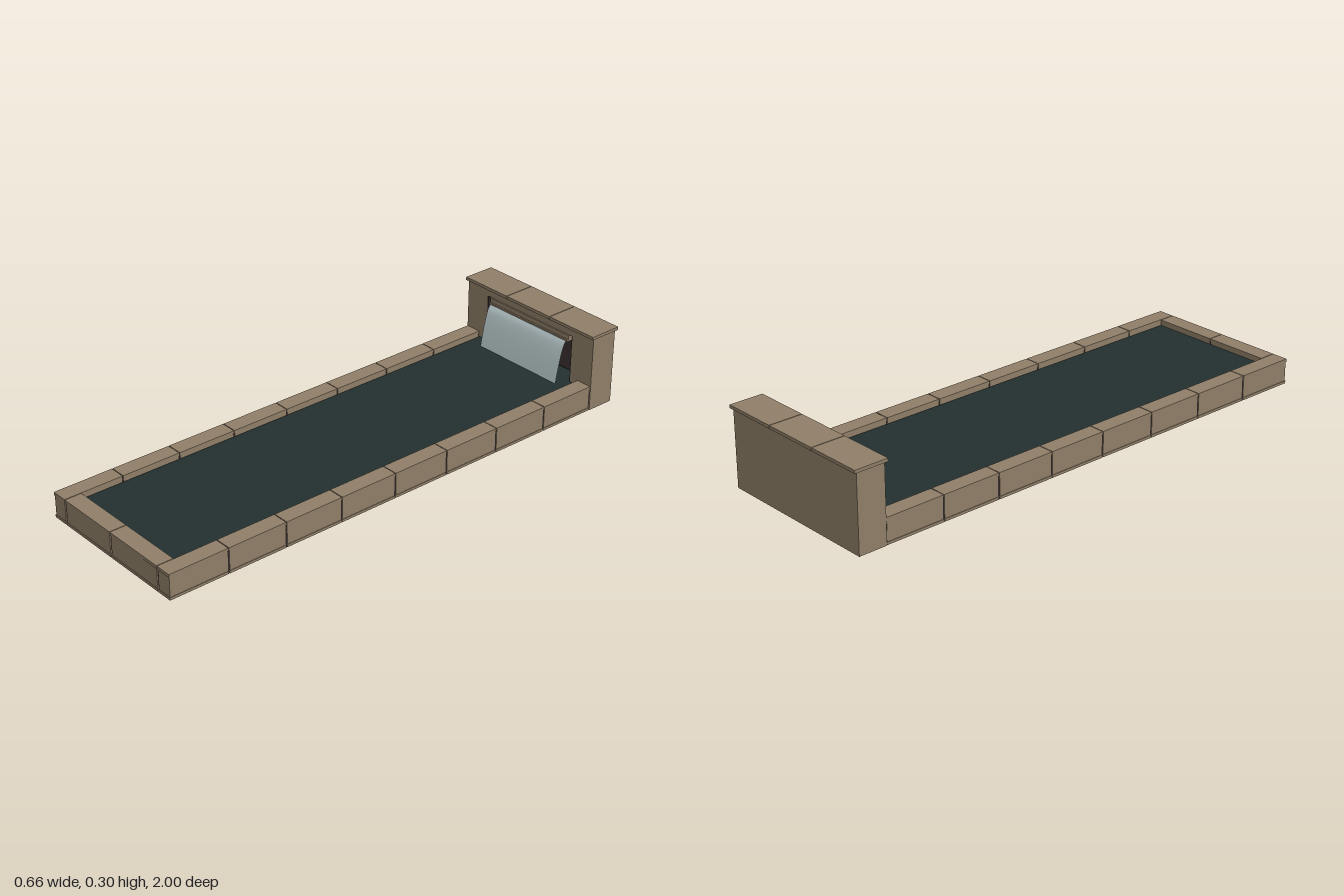
import * as THREE from 'three';

export function createModel() {
  const model = new THREE.Group();
  model.name = 'waterfallPool';

  const material = (name, color, side = THREE.FrontSide) => {
    const m = new THREE.MeshStandardMaterial({ color, side });
    m.name = name;
    return m;
  };
  const stone = material('stone', 0x8f7e68);
  const niche = material('nicheDark', 0x3a3030);
  const liner = material('linerBlack', 0x1a1614);
  const water = material('poolWater', 0x22302f);
  const fall = material('fallingWater', 0xb8c8ca, THREE.DoubleSide);

  // Box given by its limits on each axis
  const box = (name, mat, [x0, x1], [y0, y1], [z0, z1], parent = model) => {
    const mesh = new THREE.Mesh(new THREE.BoxGeometry(x1 - x0, y1 - y0, z1 - z0), mat);
    mesh.position.set((x0 + x1) / 2, (y0 + y1) / 2, (z0 + z1) / 2);
    mesh.name = name;
    parent.add(mesh);
    return mesh;
  };

  const W = 0.323, IN = 0.257, RIM = 0.097, GAP = 0.0015;

  // One curb stone: footing, slightly inset body and coping slab
  const curbStone = (name, [x0, x1], [z0, z1]) => {
    const g = new THREE.Group();
    g.name = name;
    const x = [x0 + GAP, x1 - GAP], z = [z0 + GAP, z1 - GAP];
    const inset = ([a, b]) => [a + 0.002, b - 0.002];
    box('footing', stone, x, [0, 0.01], z, g);
    box('body', stone, inset(x), [0.01, 0.085], inset(z), g);
    box('coping', stone, x, [0.085, RIM], z, g);
    model.add(g);
  };

  // Side curbs, running from the front corners to the head wall
  const joints = [1, 0.765, 0.53, 0.295, 0.06, -0.175, -0.41, -0.645, -0.88];
  for (const s of [-1, 1]) {
    for (let i = 0; i < joints.length - 1; i++) {
      const xs = s > 0 ? [IN, W] : [-W, -IN];
      curbStone('sideCurb', xs, [joints[i + 1], joints[i]]);
    }
    // Dark mortar behind the joints
    const xm = s > 0 ? [IN + 0.006, W - 0.006] : [-W + 0.006, -IN - 0.006];
    box('sideMortar', niche, xm, [0.004, 0.09], [-0.88, 0.99]);
  }

  // Front curb in two stones
  curbStone('frontCurb', [-IN, 0], [0.932, 1]);
  curbStone('frontCurb', [0, IN], [0.932, 1]);
  box('frontMortar', niche, [-0.26, 0.26], [0.004, 0.09], [0.938, 0.992]);

  // Pool: black liner underneath, water on top
  box('poolLiner', liner, [-0.256, 0.256], [0.004, 0.02], [-0.88, 0.934]);
  box('poolWater', water, [-0.256, 0.256], [0.02, 0.075], [-0.88, 0.934]);
  box('nicheWater', water, [-0.22, 0.22], [0.02, 0.075], [-0.945, -0.88]);

  // Head wall around the niche
  const HF = -0.88, HB = -0.99, TOP = 0.29;
  box('headWallBack', stone, [-W, W], [0, TOP], [HB, -0.95]);
  for (const s of [-1, 1]) {
    box('headColumn', stone, s > 0 ? [0.22, W] : [-W, -0.22], [0, TOP], [-0.95, HF]);
    box('nicheSide', niche, s > 0 ? [0.216, 0.22] : [-0.22, -0.216], [0.075, 0.26], [-0.946, HF - 0.002]);
  }
  box('headBase', stone, [-0.22, 0.22], [0, 0.02], [-0.95, HF]);
  box('lintel', stone, [-0.22, 0.22], [0.26, TOP], [-0.95, HF]);
  box('nicheBack', niche, [-0.22, 0.22], [0.075, 0.26], [-0.95, -0.946]);

  // Cap slabs
  [[-0.33, -0.111], [-0.111, 0.111], [0.111, 0.33]].forEach(([a, b]) =>
    box('capSlab', stone, [a + GAP, b - GAP], [TOP, 0.302], [-1, -0.87]));
  box('capMortar', niche, [-0.32, 0.32], [TOP, 0.298], [-0.99, -0.88]);

  // Spout: upper block and projecting lip
  box('spout', stone, [-0.203, 0.203], [0.24, 0.258], [-0.946, -0.878]);
  box('spoutLip', stone, [-0.203, 0.203], [0.234, 0.241], [-0.946, -0.872]);

  // Curved sheet of falling water
  const sheet = new THREE.PlaneGeometry(0.394, 1, 1, 12);
  const pos = sheet.attributes.position;
  for (let i = 0; i < pos.count; i++) {
    const t = 0.5 - pos.getY(i);
    pos.setY(i, 0.238 - 0.163 * t);
    pos.setZ(i, -0.874 + 0.046 * Math.pow(t, 0.6));
  }
  sheet.computeVertexNormals();
  const sheetMesh = new THREE.Mesh(sheet, fall);
  sheetMesh.name = 'waterfallSheet';
  model.add(sheetMesh);

  return model;
}
